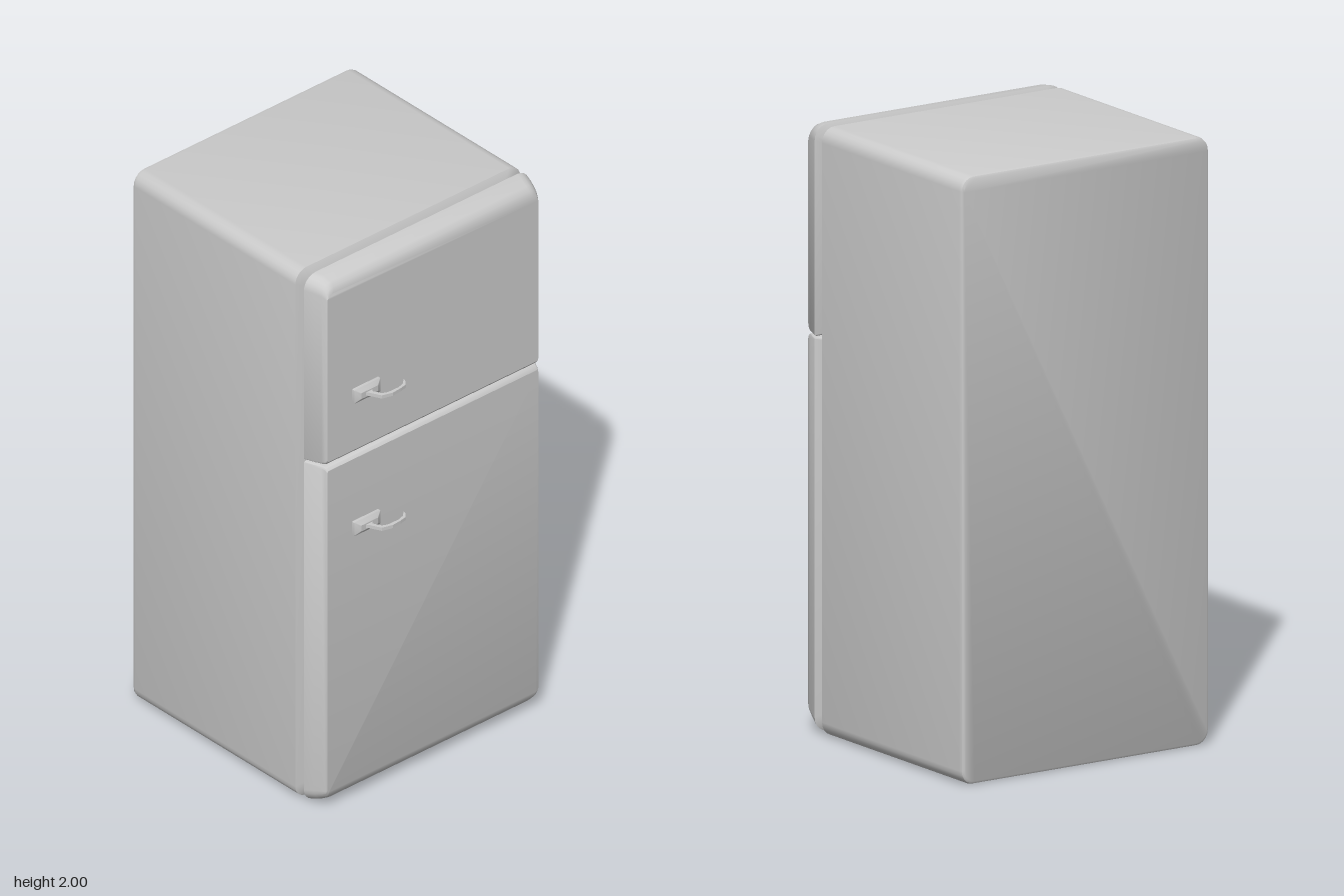
import * as THREE from 'three';
import { toCreasedNormals } from 'three/addons/utils/BufferGeometryUtils.js';

const material = new THREE.MeshStandardMaterial({ color: 0xcccccc });
const STEPS = 5; // segments per rounded corner

// Rounded rectangle, counter-clockwise, with separate bottom and top radii
function roundedRing([z, x, y0, y1, rBottom, rTop]) {
  const points = [];
  const corners = [[1, 1, rTop], [-1, 1, rTop], [-1, -1, rBottom], [1, -1, rBottom]];
  corners.forEach(([sx, sy, r], c) => {
    for (let i = 0; i <= STEPS; i++) {
      const a = (c + i / STEPS) * Math.PI / 2;
      points.push([sx * (x - r) + r * Math.cos(a), (sy > 0 ? y1 - r : y0 + r) + r * Math.sin(a), z]);
    }
  });
  return points;
}

// Closed skin through sections ordered back to front: [z, halfWidth, bottom, top, rBottom, rTop]
function loft(name, sections, crease = 0.6) {
  const rings = sections.map(roundedRing);
  const n = rings[0].length;
  const positions = rings.flat(2);
  const index = [];
  for (let k = 0; k < rings.length - 1; k++) {
    for (let i = 0; i < n; i++) {
      const a = k * n + i, b = k * n + (i + 1) % n;
      index.push(a, b, b + n, a, b + n, a + n);
    }
  }
  const last = (rings.length - 1) * n;
  for (let i = 1; i < n - 1; i++) {
    index.push(0, i + 1, i);
    index.push(last, last + i, last + i + 1);
  }
  const geometry = new THREE.BufferGeometry();
  geometry.setAttribute('position', new THREE.Float32BufferAttribute(positions, 3));
  geometry.setIndex(index);
  const mesh = new THREE.Mesh(toCreasedNormals(geometry, crease), material);
  mesh.name = name;
  return mesh;
}

// Mounting plate with a thin hooked lever
function createHandle(name, y) {
  const handle = new THREE.Group();
  handle.name = name;
  const plate = loft('handlePlate', [
    [0.405, 0.056, -0.026, 0.026, 0.003, 0.003],
    [0.42, 0.056, -0.026, 0.026, 0.003, 0.003],
    [0.431, 0.036, -0.011, 0.011, 0.003, 0.003],
  ], 0.3);
  plate.position.x = -0.288;
  handle.add(plate);

  const outline = [
    [-0.306, 0.428], [-0.275, 0.428], [-0.283, 0.44], [-0.269, 0.468], [-0.25, 0.476],
    [-0.205, 0.477], [-0.182, 0.47], [-0.162, 0.452], [-0.166, 0.465], [-0.179, 0.481],
    [-0.205, 0.486], [-0.24, 0.489], [-0.278, 0.478], [-0.297, 0.44],
  ].map(([x, z]) => new THREE.Vector2(x, z));
  const geometry = new THREE.ExtrudeGeometry(new THREE.Shape(outline), { depth: 0.012, bevelEnabled: false });
  geometry.translate(0, 0, -0.006).rotateX(Math.PI / 2);
  const lever = new THREE.Mesh(geometry, material);
  lever.name = 'handleLever';
  handle.add(lever);
  handle.position.y = y;
  return handle;
}

export function createModel() {
  const model = new THREE.Group();
  model.name = 'refrigerator';

  // Cabinet: softened back edge, front edge tapering into the seal groove
  model.add(loft('cabinet', [
    [-0.49, 0.47, 0.01, 1.99, 0.04, 0.04],
    [-0.486, 0.477, 0.003, 1.997, 0.045, 0.045],
    [-0.475, 0.48, 0, 2, 0.048, 0.048],
    [0.29, 0.48, 0, 2, 0.048, 0.048],
    [0.31, 0.42, 0.04, 1.96, 0.03, 0.03],
  ]));

  // Upper door: rounded top edge, small bevel at the seam
  model.add(loft('freezerDoor', [
    [0.31, 0.42, 1.32, 1.96, 0.008, 0.03],
    [0.331, 0.48, 1.308, 2, 0.008, 0.05],
    [0.365, 0.468, 1.308, 1.997, 0.008, 0.048],
    [0.39, 0.458, 1.309, 1.987, 0.008, 0.042],
    [0.403, 0.453, 1.313, 1.973, 0.008, 0.035],
    [0.41, 0.45, 1.322, 1.955, 0.008, 0.025],
  ]));

  // Lower door: deeper roll-under at the bottom
  model.add(loft('mainDoor', [
    [0.31, 0.42, 0.04, 1.29, 0.03, 0.008],
    [0.331, 0.48, 0.006, 1.302, 0.05, 0.008],
    [0.365, 0.468, 0.018, 1.302, 0.046, 0.008],
    [0.39, 0.458, 0.034, 1.301, 0.036, 0.008],
    [0.403, 0.453, 0.05, 1.297, 0.022, 0.008],
    [0.41, 0.45, 0.07, 1.288, 0.01, 0.008],
  ]));

  model.add(createHandle('freezerHandle', 1.53), createHandle('mainHandle', 1.028));
  return model;
}
